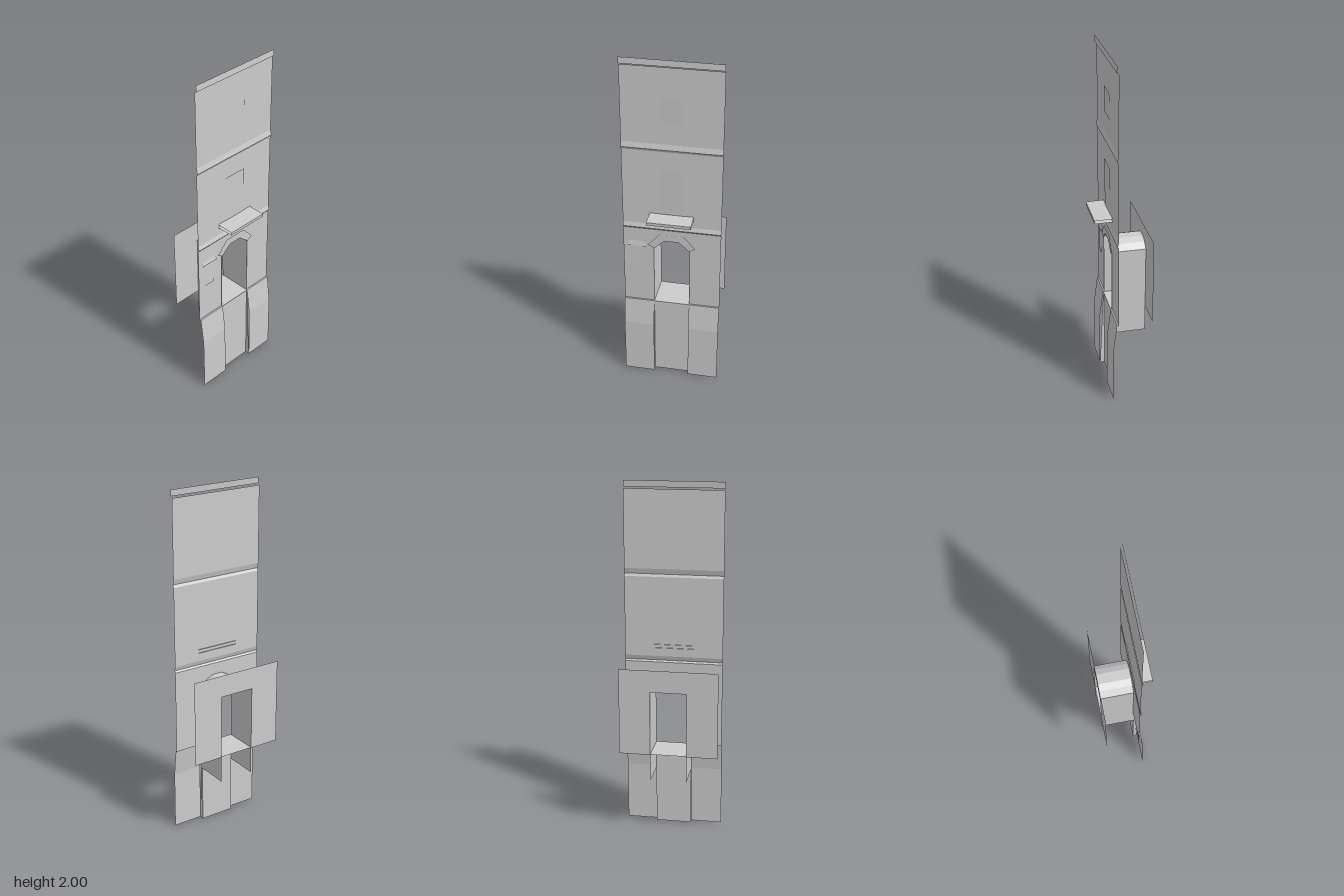
import * as THREE from 'three';

const material = new THREE.MeshStandardMaterial({ color: 0xcccccc, side: THREE.DoubleSide, flatShading: true });
const W = 0.278; // half width of the facade
const D = 0.102; // half width of the doorway
const BACK = -0.148;
const WALL = 0.046;

// Open sheet: a [y, z] profile listed from the top down, swept from x0 to x1
function ribbon(profile, x0, x1) {
  const pos = [];
  const idx = [];
  profile.forEach(([y, z], i) => {
    pos.push(x0, y, z, x1, y, z);
    if (i) {
      const a = 2 * (i - 1);
      idx.push(a, a + 2, a + 1, a + 1, a + 2, a + 3);
    }
  });
  const g = new THREE.BufferGeometry();
  g.setAttribute('position', new THREE.Float32BufferAttribute(pos, 3));
  g.setIndex(idx);
  g.computeVertexNormals();
  return g;
}

// Flat sheet facing +z from an outline of [x, y] points
function sheet(points, z) {
  const shape = new THREE.Shape(points.map(([x, y]) => new THREE.Vector2(x, y)));
  return new THREE.ShapeGeometry(shape).translate(0, 0, z);
}

export function createModel() {
  const model = new THREE.Group();
  const add = (name, geometry) => {
    const mesh = new THREE.Mesh(geometry, material);
    mesh.name = name;
    model.add(mesh);
    return mesh;
  };

  // Upper wall with a shallow string course at each storey
  add('upperWall', ribbon([
    [1.957, WALL], [1.52, WALL], [1.49, 0.054], [1.475, WALL],
    [1.02, WALL], [0.995, 0.054], [0.985, WALL],
  ], -W, W));
  add('parapetStrip', ribbon([[2, 0.055], [1.965, 0.057]], -W, W));

  // Ground-floor wall cut out around the arched doorway
  const arch = [[-D, 0.87], [-0.067, 0.9], [-0.03, 0.918], [0.03, 0.918], [0.067, 0.9], [D, 0.87]];
  add('lowerWall', sheet([
    [-W, 0.5], [-D, 0.5], ...arch, [D, 0.5], [W, 0.5], [W, 0.985], [-W, 0.985],
  ], WALL));

  // Arch surround
  add('archSurround', sheet([
    [-0.135, 0.885], [-0.1, 0.865], [-0.04, 0.918], [0.04, 0.918], [0.1, 0.865],
    [0.135, 0.885], [0.068, 0.96], [-0.068, 0.96],
  ], 0.054));

  // Passage lining: side walls run below the floor, with a faceted vault above
  const lining = [[-D, 0.34], ...arch, [D, 0.34]];
  const vault = ribbon(lining.map(([x, y]) => [y, -x]), BACK, 0.05);
  add('passageLining', vault.rotateY(-Math.PI / 2).scale(1, 1, 1));
  add('passageFloor', ribbon([[0.5, BACK], [0.5, 0.055]], -D, D));

  // Rear panel with a square opening
  add('rearPanel', sheet([
    [-W, 0.497], [-D, 0.497], [-D, 0.868], [D, 0.868], [D, 0.497], [W, 0.497], [W, 0.994], [-W, 0.994],
  ], BACK));

  // Base: flat centre panel between two flared plinths with tapering cheeks
  add('basePanel', ribbon([[0.5, 0.05], [0, 0.05]], -D, D));
  for (const side of [-1, 1]) {
    const x0 = side < 0 ? -W : D;
    add('plinth', ribbon([[0.5, WALL], [0.5, 0.055], [0.34, 0.075], [0, 0.077]], x0, x0 + W - D));
    const cheek = sheet([[-0.05, 0], [-0.05, 0.5], [-0.055, 0.5], [-0.077, 0]], 0);
    add('plinthCheek', cheek.rotateY(Math.PI / 2).translate(side * D, 0, 0));
  }

  // Window sill, open at its ends
  add('windowSill', ribbon([[1.09, 0.04], [1.087, 0.147], [1.07, 0.147], [1.07, 0.04]], -0.124, 0.124));

  // Shallow window panes and the wall plaque beside the door
  add('upperWindow', ribbon([[1.79, 0.051], [1.64, 0.048]], -0.066, 0.066));
  add('middleWindow', ribbon([[1.37, 0.052], [1.09, 0.048]], -0.069, 0.069));
  add('plaqueCap', ribbon([[0.9, 0.048], [0.87, 0.054]], -0.25, -0.147));
  add('plaque', ribbon([[0.87, 0.049], [0.725, 0.051]], -0.235, -0.168));

  return model;
}
